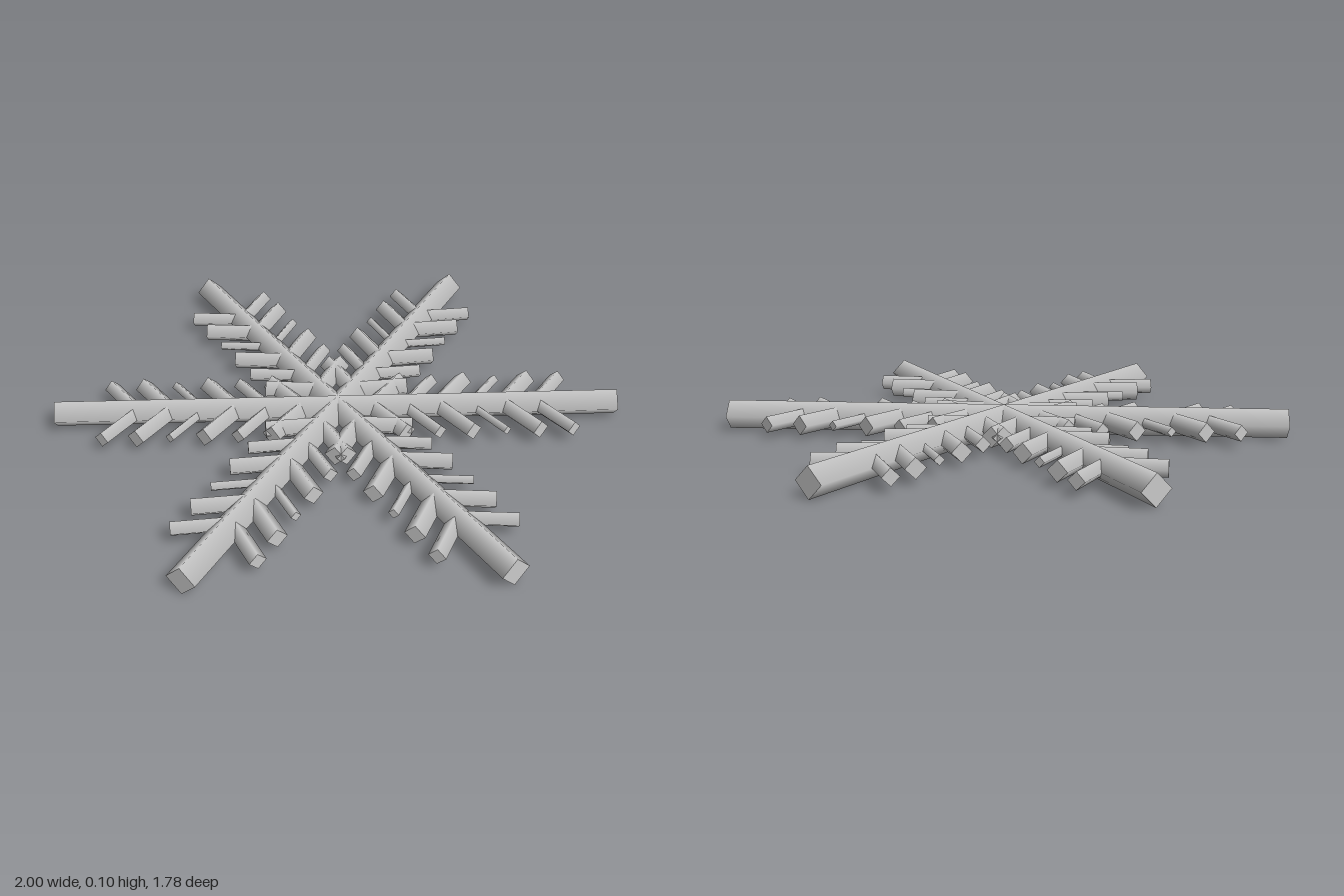
import * as THREE from 'three';

const ARM_RADIUS = 0.052;
const BRANCH_ANGLE = THREE.MathUtils.degToRad(55);
const BRANCH_LENGTH = 0.195;
// One radius per branch pair, from the centre outwards
const BRANCH_RADII = [0.037, 0.027, 0.035, 0.018, 0.035, 0.029];

const material = new THREE.MeshStandardMaterial({ color: 0xcccccc });

// Four-sided bar lying along +x from the origin, standing on its edge
function bar(name, radius, length) {
  const geometry = new THREE.CylinderGeometry(radius, radius, length, 4);
  geometry.rotateZ(-Math.PI / 2);
  geometry.translate(length / 2, 0, 0);
  const mesh = new THREE.Mesh(geometry, material);
  mesh.name = name;
  return mesh;
}

// One arm: a main bar with mirrored pairs of slanted branches
function createArm() {
  const arm = new THREE.Group();
  arm.name = 'arm';
  arm.add(bar('armBar', ARM_RADIUS, 1));
  BRANCH_RADII.forEach((radius, i) => {
    for (const side of [-1, 1]) {
      const branch = bar('branch', radius, BRANCH_LENGTH);
      branch.position.x = 0.123 + 0.117 * i;
      branch.rotation.y = side * BRANCH_ANGLE;
      arm.add(branch);
    }
  });
  return arm;
}

export function createModel() {
  const model = new THREE.Group();
  model.name = 'snowflake';
  // Six arms evenly spaced around the centre
  for (let i = 0; i < 6; i++) {
    const arm = createArm();
    arm.rotation.y = (i * Math.PI) / 3;
    arm.position.y = ARM_RADIUS;
    model.add(arm);
  }
  return model;
}
